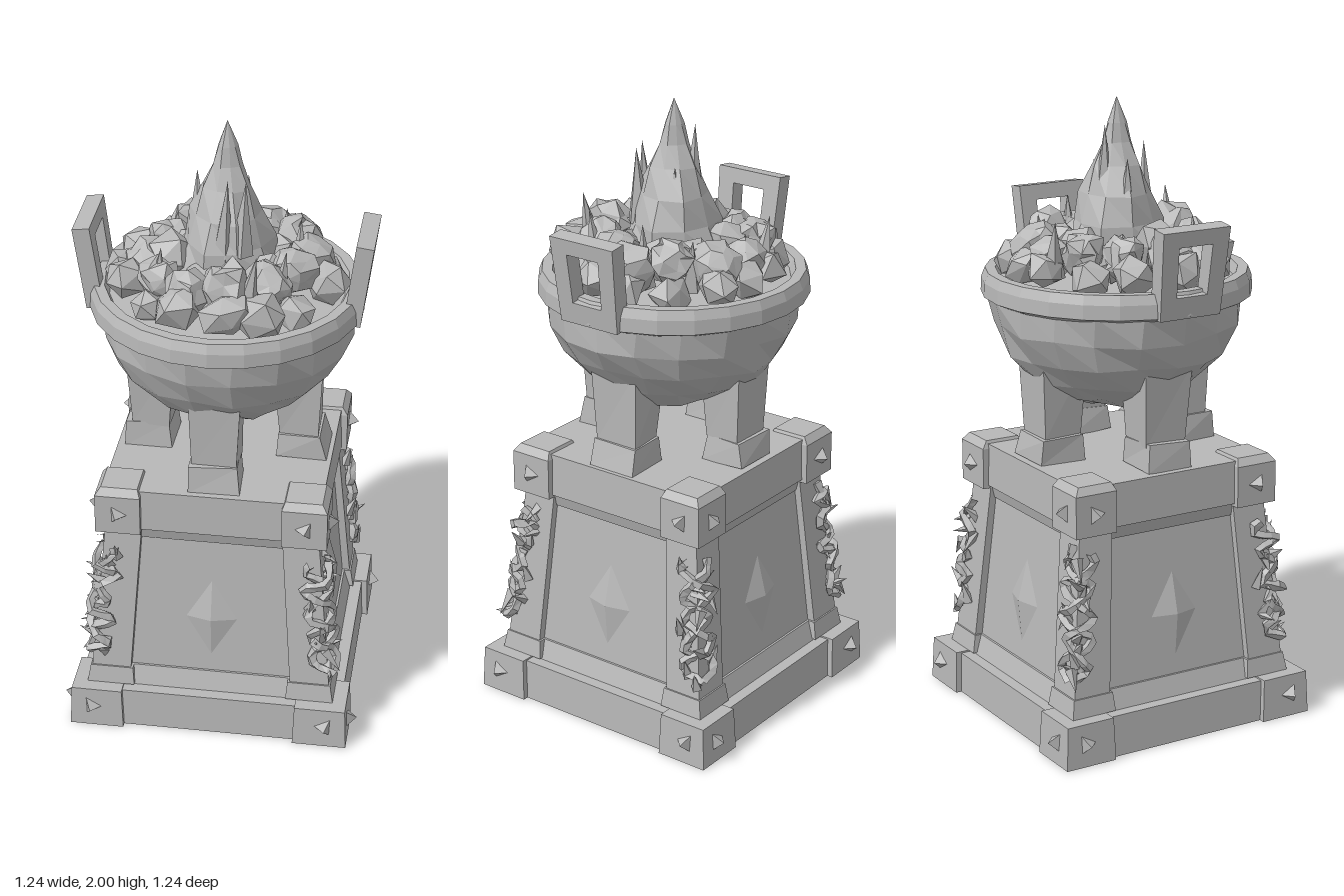
import * as THREE from 'three';

const stone = new THREE.MeshStandardMaterial({ color: 0xb8b8b8, flatShading: true });
stone.name = 'grey stone';

// Seeded random numbers
let seed = 11;
const rnd = (a = 0, b = 1) => {
  seed = (seed * 16807) % 2147483647;
  return a + (b - a) * (seed / 2147483647);
};

// Move vertices by a position hash, so shared corners stay together
function jitter(geo, amount, salt = 0) {
  const p = geo.attributes.position;
  const hash = (x, y, z) => {
    const s = Math.sin(x * 127.1 + y * 311.7 + z * 74.7 + salt * 19.3) * 43758.5453;
    return (s - Math.floor(s) - 0.5) * 2 * amount;
  };
  for (let i = 0; i < p.count; i++) {
    const [x, y, z] = [p.getX(i), p.getY(i), p.getZ(i)].map(v => Math.round(v * 1000) / 1000);
    p.setXYZ(i, x + hash(x, y, z), y + hash(y, z, x), z + hash(z, x, y));
  }
  geo.computeVertexNormals();
  return geo;
}

function add(parent, name, geo, x = 0, y = 0, z = 0) {
  const m = new THREE.Mesh(geo, stone);
  m.name = name;
  m.position.set(x, y, z);
  parent.add(m);
  return m;
}

// Box between two rectangles [x0, x1, z0, z1] at heights y0 and y1
function block(y0, bottom, y1, top) {
  const geo = new THREE.BoxGeometry(1, 1, 1);
  const p = geo.attributes.position;
  for (let i = 0; i < p.count; i++) {
    const up = p.getY(i) > 0, r = up ? top : bottom;
    p.setXYZ(i, p.getX(i) < 0 ? r[0] : r[1], up ? y1 : y0, p.getZ(i) < 0 ? r[2] : r[3]);
  }
  geo.computeVertexNormals();
  return geo;
}
const square = h => [-h, h, -h, h];
const corner = (inner, outer) => [inner, outer, inner, outer];
const pillarHalf = y => 0.395 - 0.096 * (y - 0.2);

function addStud(parent, x, y, z) {
  const s = add(parent, 'stud', new THREE.ConeGeometry(0.036, 0.035, 3), x, y, z + 0.014);
  s.rotation.set(Math.PI / 2, x > 0 ? 0.5 : -0.5, 0);
}

// Point on the two faces beside a corner; t slides round the corner
function aroundCorner(t, y, out = 0.012) {
  const h = pillarHalf(y) + out;
  return new THREE.Vector3(h - Math.max(0, t), y, h - Math.max(0, -t));
}

function addVines(parent) {
  for (const phase of [0, Math.PI]) {
    const pts = [];
    for (let i = 0; i <= 12; i++) {
      const y = 0.26 + i * 0.033;
      pts.push(aroundCorner(0.07 * Math.sin(i * 1.25 + phase) + rnd(-0.02, 0.02), y, rnd(0.004, 0.022)));
    }
    const tube = new THREE.TubeGeometry(new THREE.CatmullRomCurve3(pts), 28, 0.015, 4);
    add(parent, 'vine', jitter(tube, 0.004));
  }
  for (let i = 0; i < 12; i++) {
    const t = rnd(-0.08, 0.08);
    const p = aroundCorner(t, 0.27 + i * 0.034, 0.015);
    const thorn = add(parent, 'thorn', new THREE.ConeGeometry(0.02, rnd(0.06, 0.09), 4), p.x, p.y, p.z);
    const dir = new THREE.Vector3(t > 0 ? 0.1 : 0.5, rnd(-1, 1.6), t > 0 ? 0.5 : 0.1);
    thorn.quaternion.setFromUnitVectors(new THREE.Vector3(0, 1, 0), dir.normalize());
  }
}

function buildPedestal() {
  const g = new THREE.Group();
  g.name = 'pedestal';
  add(g, 'base', block(0, square(0.437), 0.135, square(0.432)));
  add(g, 'baseStep', block(0.13, square(0.395), 0.2, square(0.372)));
  add(g, 'body', block(0.14, square(0.37), 0.74, square(0.318)));
  add(g, 'neck', block(0.68, square(0.328), 0.74, square(0.345)));
  add(g, 'cap', block(0.725, square(0.352), 0.865, square(0.348)));
  for (let k = 0; k < 4; k++) {
    const side = new THREE.Group();
    side.name = 'pedestalSide';
    side.rotation.y = k * Math.PI / 2;
    g.add(side);
    // Corner blocks and pillar
    add(side, 'baseCorner', block(0, corner(0.28, 0.456), 0.14, corner(0.285, 0.45)));
    add(side, 'pillarFoot', block(0.14, corner(0.25, 0.405), 0.2, corner(0.255, 0.395)));
    add(side, 'pillar', block(0.2, corner(0.262, 0.39), 0.73, corner(0.225, 0.342)));
    add(side, 'capCorner', block(0.715, corner(0.225, 0.37), 0.85, corner(0.225, 0.37)));
    add(side, 'capCornerTop', block(0.85, corner(0.225, 0.37), 0.875, corner(0.235, 0.352)));
    addVines(side);
    // Faceted diamond on the panel
    const gem = add(side, 'diamond', new THREE.ConeGeometry(1, 1, 4), 0, 0.4, 0.356);
    gem.geometry.rotateX(Math.PI / 2);
    gem.scale.set(0.105, 0.175, 0.03);
    gem.rotation.x = -0.087;
    for (const s of [-1, 1]) {
      addStud(side, s * 0.385, 0.075, 0.453);
      addStud(side, s * 0.3, 0.785, 0.37);
    }
  }
  return g;
}

function buildBowl() {
  const g = new THREE.Group();
  g.name = 'brazier';
  // Round belly, with facets
  const belly = [];
  for (let i = 0; i <= 6; i++) {
    const a = (i / 6) * Math.PI / 2;
    belly.push(new THREE.Vector2(0.408 * Math.sin(a), 1.385 - 0.365 * Math.cos(a)));
  }
  add(g, 'bowl', jitter(new THREE.LatheGeometry(belly, 18), 0.009));
  const rim = [[0.4, 1.37], [0.432, 1.385], [0.43, 1.43], [0.418, 1.46], [0.385, 1.46], [0.37, 1.43], [0, 1.45]];
  add(g, 'rim', new THREE.LatheGeometry(rim.map(p => new THREE.Vector2(...p)), 24));
  // Four legs under the bowl
  for (let k = 0; k < 4; k++) {
    const leg = new THREE.Group();
    leg.name = 'leg';
    leg.rotation.y = k * Math.PI / 2;
    g.add(leg);
    add(leg, 'foot', jitter(block(0.865, [-0.083, 0.083, 0.17, 0.33], 0.95, [-0.076, 0.076, 0.18, 0.315]), 0.006, k));
    add(leg, 'shin', jitter(block(0.94, [-0.07, 0.07, 0.18, 0.3], 1.2, [-0.083, 0.083, 0.16, 0.31]), 0.007, k));
  }
  // Two upright square handles, leaning outward
  for (const turn of [0, Math.PI]) {
    const holder = new THREE.Group();
    holder.name = 'handle';
    holder.rotation.y = turn;
    g.add(holder);
    const shape = new THREE.Shape([[-0.108, 0], [0.108, 0], [0.12, 0.28], [-0.12, 0.28]].map(p => new THREE.Vector2(...p)));
    shape.holes.push(new THREE.Path([[-0.055, 0.07], [-0.06, 0.23], [0.06, 0.23], [0.055, 0.07]].map(p => new THREE.Vector2(...p))));
    const geo = new THREE.ExtrudeGeometry(shape, { depth: 0.055, bevelEnabled: false });
    add(holder, 'handleFrame', geo, 0, 1.385, 0.375).rotation.x = 0.13;
  }
  return g;
}

function buildFire() {
  const g = new THREE.Group();
  g.name = 'fire';
  // Coals in three heaped rings
  const rings = [[0.315, 15, 1.48, 0.07], [0.24, 12, 1.53, 0.075], [0.165, 8, 1.53, 0.075]];
  rings.forEach(([radius, count, y, size], r) => {
    for (let i = 0; i < count; i++) {
      const a = (i / count) * Math.PI * 2 + r * 0.4 + rnd(-0.1, 0.1), d = radius + rnd(-0.02, 0.02);
      const geo = jitter(new THREE.IcosahedronGeometry(size * rnd(0.8, 1.1), r === 1 ? 1 : 0), 0.015, i + r * 20);
      const coal = add(g, 'coal', geo, d * Math.cos(a), y + rnd(-0.02, 0.03), d * Math.sin(a));
      coal.rotation.set(rnd(0, 3), rnd(0, 3), rnd(0, 3));
    }
  });
  // Main flame
  const profile = [[0.12, 1.42], [0.158, 1.52], [0.14, 1.61], [0.112, 1.7], [0.075, 1.79], [0.045, 1.86], [0.03, 1.92], [0, 2]];
  const flame = new THREE.LatheGeometry(profile.map(p => new THREE.Vector2(...p)), 9);
  const p = flame.attributes.position;
  for (let i = 0; i < p.count; i++) {
    const y = p.getY(i), k = 1 + 0.1 * Math.sin(3 * Math.atan2(p.getZ(i), p.getX(i)) + y * 19);
    p.setX(i, p.getX(i) * k);
    p.setZ(i, p.getZ(i) * k);
  }
  flame.computeVertexNormals();
  add(g, 'flame', flame);
  // Licking tongues: x, z, tip height, length, radius
  const tongues = [
    [-0.09, 0.06, 1.85, 0.26, 0.035], [0.04, -0.05, 1.92, 0.24, 0.035], [-0.05, 0.1, 1.84, 0.24, 0.04],
    [0.07, 0.03, 1.8, 0.2, 0.04], [-0.03, -0.09, 1.82, 0.22, 0.04],
    [-0.17, 0.22, 1.68, 0.2, 0.04], [0.15, 0.17, 1.66, 0.2, 0.04], [0.2, -0.22, 1.65, 0.18, 0.04],
    [-0.24, -0.08, 1.64, 0.18, 0.04], [0.24, 0.05, 1.62, 0.16, 0.04], [-0.05, 0.25, 1.66, 0.2, 0.04],
  ];
  for (const [x, z, tip, len, r] of tongues) {
    const t = add(g, 'flameTongue', new THREE.ConeGeometry(r, len, 5, 2), x, tip - len / 2, z);
    t.rotation.set(z * 0.5, rnd(0, 3), -x * 0.5);
  }
  return g;
}

export function createModel() {
  const model = new THREE.Group();
  model.name = 'firePedestal';
  // The whole monument stands turned on its axis
  model.add(buildPedestal(), buildBowl(), buildFire());
  model.children.forEach((part, i) => { if (i < 2) part.rotation.y = 0.513; });
  return model;
}
